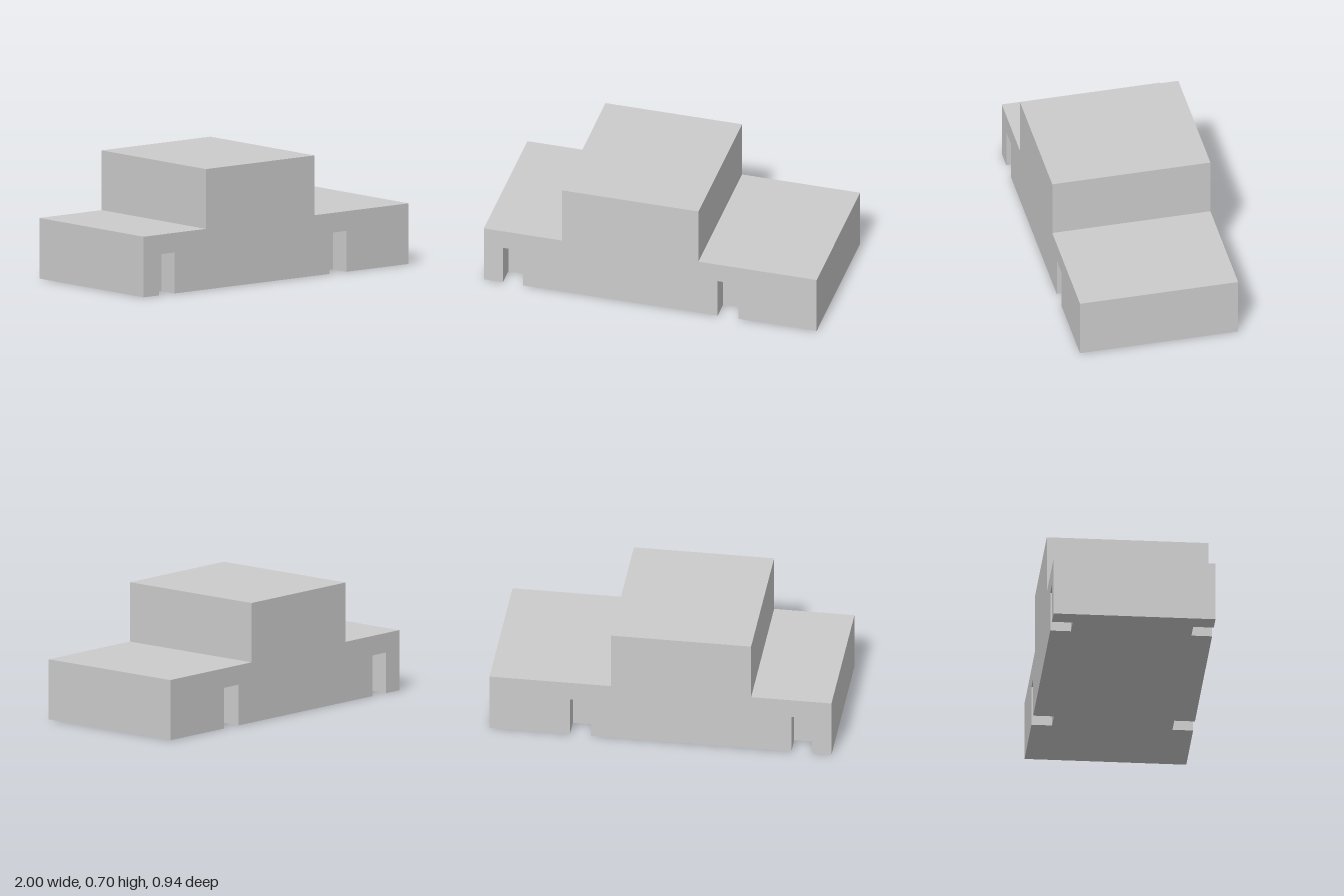
import * as THREE from 'three';

const HALF_DEPTH = 0.47;
const NOTCH_HEIGHT = 0.24;
const NOTCH_DEPTH = 0.12;
const NOTCHES = [[-0.885, -0.765], [0.405, 0.53]];

// Stepped body outline, from the lower left-hand end up and over to the other end
const STEPS = [
  [1, 0], [1, 0.355], [0.29, 0.355], [0.29, 0.705],
  [-0.53, 0.705], [-0.53, 0.355], [-1, 0.355], [-1, 0],
];

const material = new THREE.MeshStandardMaterial({ color: 0xcccccc, flatShading: true });

// Corners of one notch cut into an edge at height y, running along +x
const notch = ([x0, x1], y, size) => [[x0, y], [x0, y + size], [x1, y + size], [x1, y]];

const shapeOf = (points) => new THREE.ShapeGeometry(
  new THREE.Shape(points.map(([x, y]) => new THREE.Vector2(x, y))));

// Sweeps an open outline straight from z0 to z1, one quad per edge
function strip(points, z0, z1) {
  const positions = [];
  for (let i = 0; i < points.length - 1; i++) {
    const [ax, ay] = points[i];
    const [bx, by] = points[i + 1];
    positions.push(
      ax, ay, z1, ax, ay, z0, bx, by, z0,
      ax, ay, z1, bx, by, z0, bx, by, z1);
  }
  const geometry = new THREE.BufferGeometry();
  geometry.setAttribute('position', new THREE.Float32BufferAttribute(positions, 3));
  geometry.computeVertexNormals();
  return geometry;
}

function add(parent, name, geometry) {
  const mesh = new THREE.Mesh(geometry, material);
  mesh.name = name;
  parent.add(mesh);
  return mesh;
}

// One long side: the wall with its notches and the pockets behind them
function createSide(name) {
  const side = new THREE.Group();
  side.name = name;
  const outline = [...STEPS, ...NOTCHES.flatMap((n) => notch(n, 0, NOTCH_HEIGHT))];
  add(side, 'wall', shapeOf(outline)).position.z = HALF_DEPTH;
  for (const n of NOTCHES) {
    const opening = notch(n, 0, NOTCH_HEIGHT);
    add(side, 'pocketLining', strip(opening, HALF_DEPTH - NOTCH_DEPTH, HALF_DEPTH));
    add(side, 'pocketBack', shapeOf([...opening].reverse())).position.z = HALF_DEPTH - NOTCH_DEPTH;
  }
  return side;
}

export function createModel() {
  const model = new THREE.Group();
  model.name = 'steppedBody';

  // Ends, low decks and raised block
  add(model, 'steppedShell', strip(STEPS, -HALF_DEPTH, HALF_DEPTH));

  // Matching front and back sides
  const back = createSide('backSide');
  back.scale.z = -1;
  model.add(createSide('frontSide'), back);

  // Underside, cut out below each pocket
  const edge = [
    [-1, -HALF_DEPTH],
    ...NOTCHES.flatMap((n) => notch(n, -HALF_DEPTH, NOTCH_DEPTH)),
    [1, -HALF_DEPTH],
  ];
  const opposite = edge.map(([x, z]) => [x, -z]).reverse();
  add(model, 'underside', shapeOf([...edge, ...opposite]).rotateX(Math.PI / 2));

  return model;
}
